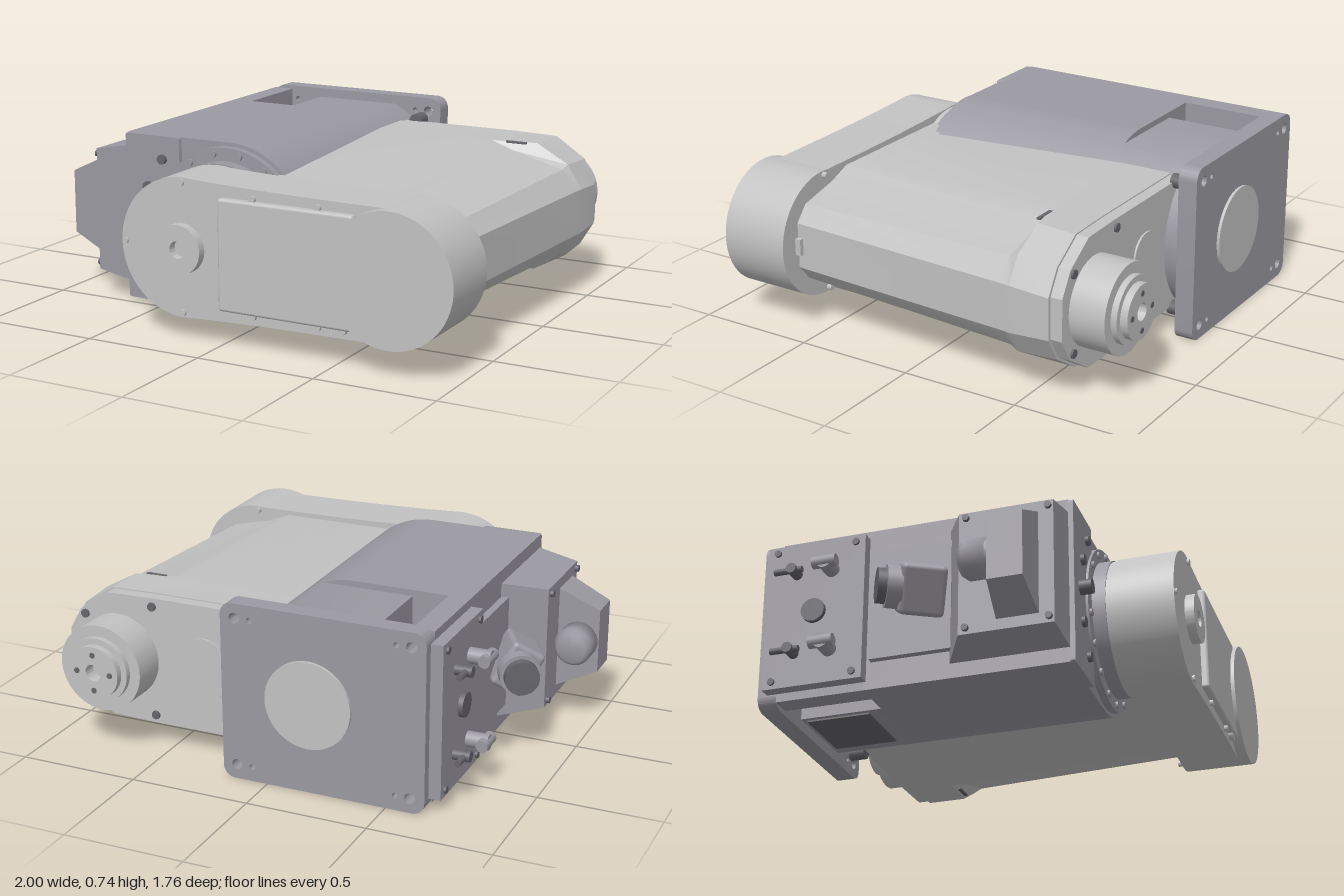
import * as THREE from 'three';
import { toCreasedNormals } from 'three/addons/utils/BufferGeometryUtils.js';
import { RoundedBoxGeometry } from 'three/addons/geometries/RoundedBoxGeometry.js';

const mat = (name, color) => {
  const m = new THREE.MeshStandardMaterial({ color });
  m.name = name;
  return m;
};
const light = mat('light grey shell', 0xc2c2c2);
const grey = mat('base grey', 0x9b99a1);
const dark = mat('dark fittings', 0x66656b);

const MID = 0.375; // height of all main axes

export function createModel() {
  const root = new THREE.Group();
  root.name = 'foldedRobotArm';

  const add = (name, geo, material, x = 0, y = 0, z = 0) => {
    const m = new THREE.Mesh(geo, material);
    m.name = name;
    m.position.set(x, y, z);
    root.add(m);
    return m;
  };
  // box given by its limits
  const box = (name, material, x0, x1, y0, y1, z0, z1) =>
    add(name, new THREE.BoxGeometry(x1 - x0, y1 - y0, z1 - z0), material, (x0 + x1) / 2, (y0 + y1) / 2, (z0 + z1) / 2);
  // cylinder along z
  const cylZ = (name, material, x, y, r, z0, z1, n = 40) =>
    add(name, new THREE.CylinderGeometry(r, r, z1 - z0, n).rotateX(Math.PI / 2), material, x, y, (z0 + z1) / 2);
  // cylinder along x
  const cylX = (name, material, y, z, r, x0, x1, n = 20) =>
    add(name, new THREE.CylinderGeometry(r, r, x1 - x0, n).rotateZ(Math.PI / 2), material, (x0 + x1) / 2, y, z);
  const prism = (name, material, shape, z0, z1) => {
    const g = new THREE.ExtrudeGeometry(shape, { depth: z1 - z0, bevelEnabled: false, curveSegments: 40 });
    return add(name, toCreasedNormals(g, 0.5), material, 0, 0, z0);
  };
  // rounded rectangle outline
  const roundRect = (x0, x1, y0, y1, r) => {
    const s = new THREE.Shape();
    s.absarc(x1 - r, y1 - r, r, 0, Math.PI / 2);
    s.absarc(x0 + r, y1 - r, r, Math.PI / 2, Math.PI);
    s.absarc(x0 + r, y0 + r, r, Math.PI, Math.PI * 1.5);
    s.absarc(x1 - r, y0 + r, r, Math.PI * 1.5, Math.PI * 2);
    return s;
  };
  const hole = (s, x, y, r) => s.holes.push(new THREE.Path().absarc(x, y, r, 0, Math.PI * 2, true));
  // ring with a bore, along z
  const ring = (name, material, x, y, r, bore, z0, z1) => {
    const s = new THREE.Shape().absarc(x, y, r, 0, Math.PI * 2);
    hole(s, x, y, bore);
    return prism(name, material, s, z0, z1);
  };
  // box narrowing towards -x, with separate limits at each end: [y0, y1, z0, z1]
  const taperX = (name, material, xa, a, xb, b) => {
    const g = new THREE.BoxGeometry(1, 1, 1).toNonIndexed();
    const p = g.attributes.position;
    for (let i = 0; i < p.count; i++) {
      const e = p.getX(i) < 0 ? a : b;
      p.setXYZ(i, p.getX(i) < 0 ? xa : xb, p.getY(i) < 0 ? e[0] : e[1], p.getZ(i) < 0 ? e[2] : e[3]);
    }
    g.computeVertexNormals();
    return add(name, g, material);
  };
  // skin over equal-length counter-clockwise sections [[x, y]...] stacked along z
  const loft = (sections, zs) => {
    const v = [];
    const n = sections[0].length;
    const put = (i, j) => v.push(...sections[i][j % n], zs[i]);
    for (let i = 0; i + 1 < zs.length; i++)
      for (let j = 0; j < n; j++) {
        put(i, j); put(i, j + 1); put(i + 1, j + 1);
        put(i, j); put(i + 1, j + 1); put(i + 1, j);
      }
    const e = zs.length - 1;
    for (let j = 1; j + 1 < n; j++) {
      put(0, 0); put(0, j + 1); put(0, j);
      put(e, 0); put(e, j); put(e, j + 1);
    }
    const g = new THREE.BufferGeometry();
    g.setAttribute('position', new THREE.Float32BufferAttribute(v, 3));
    return toCreasedNormals(g, 0.35);
  };

  // Base body: flat slab with a half-round side, pocketed near the mounting plate
  const body = new THREE.Shape();
  body.moveTo(-0.66, 0.025);
  body.lineTo(-0.17, 0.025);
  body.absarc(-0.17, MID, 0.35, -Math.PI / 2, Math.PI / 2);
  body.lineTo(-0.66, 0.725);
  prism('baseBody', grey, body, -0.37, 0.47);
  const pocketed = new THREE.Shape();
  pocketed.absarc(-0.17, MID, 0.35, -1.19, 1.19);
  for (const [x, y] of [[-0.42, 0.7], [-0.42, 0.5], [-0.57, 0.5], [-0.57, 0.725], [-0.66, 0.725],
    [-0.66, 0.025], [-0.57, 0.025], [-0.57, 0.25], [-0.42, 0.25], [-0.42, 0.05]]) pocketed.lineTo(x, y);
  prism('pocketedBody', grey, pocketed, -0.74, -0.37);
  box('bottomCover', dark, -0.4, -0.1, 0.043, 0.052, -0.72, -0.45);
  const front = roundRect(-0.66, -0.4, 0.025, 0.725, 0.01);
  hole(front, -0.17, MID, 0.001);
  front.holes.length = 0;
  prism('baseFrontBlock', grey, front, 0.46, 0.49);

  // Mounting plate with corner holes
  const plate = roundRect(-0.66, 0.19, 0.005, 0.74, 0.05);
  for (const y of [0.065, 0.68])
    for (const x of [-0.6, -0.54, 0.065, 0.13]) hole(plate, x, y, x === -0.6 || x === 0.13 ? 0.022 : 0.012);
  prism('mountingPlate', grey, plate, -0.82, -0.74);
  cylZ('plateDisc', light, -0.18, MID, 0.18, -0.832, -0.81);
  for (const y of [0.1, 0.645]) cylZ('plateStud', dark, 0.1, y, 0.03, -0.74, -0.67, 12);

  // Shoulder joint
  cylZ('shoulderRing', grey, -0.17, MID, 0.335, 0.46, 0.5, 64);
  cylZ('shoulderNeck', grey, -0.17, MID, 0.28, 0.49, 0.555, 64);
  cylZ('shoulderDisc', light, -0.17, MID, 0.275, 0.55, 0.59, 64);
  for (let i = 0; i < 16; i++) {
    const a = (i + 0.5) * Math.PI / 8;
    cylZ('shoulderBolt', grey, -0.17 + 0.31 * Math.cos(a), MID + 0.31 * Math.sin(a), 0.015, 0.49, 0.51, 10);
  }
  for (const [x, y, r] of [[-0.575, 0, 0.03], [-0.55, 0.135, 0.022], [-0.55, -0.135, 0.022], [-0.48, 0.255, 0.02], [-0.48, -0.255, 0.02]])
    cylZ('frontScrew', dark, x, MID + y, r, 0.48, r > 0.025 ? 0.54 : 0.505, 14);

  // Link arm joining the shoulder and elbow
  const link = new THREE.Shape();
  link.absarc(-0.17, MID, 0.28, 1.45, 2 * Math.PI - 1.45);
  link.quadraticCurveTo(0.2, 0.115, 0.74, 0.115);
  link.absarc(0.74, MID, 0.26, -Math.PI / 2, Math.PI / 2);
  link.quadraticCurveTo(0.2, 0.635, -0.136, 0.653);
  prism('linkArm', light, link, 0.58, 0.83);
  cylZ('elbowCap', light, 0.74, MID, 0.262, 0.58, 0.875, 64);
  ring('shoulderBoss', light, -0.17, MID, 0.1, 0.035, 0.82, 0.868);
  add('linkCover', new RoundedBoxGeometry(0.58, 0.445, 0.05, 2, 0.012), light, 0.295, MID, 0.834);
  for (const s of [-1, 1]) {
    for (const x of [0.15, 0.43]) cylZ('coverScrew', light, x, MID + s * 0.23, 0.014, 0.82, 0.845, 10);
    cylZ('linkScrew', light, -0.17, MID + s * 0.26, 0.014, 0.82, 0.84, 10);
  }
  cylZ('linkScrew', light, -0.43, MID, 0.012, 0.82, 0.84, 10);
  cylZ('linkPlug', light, 0.49, 0.205, 0.024, 0.82, 0.85, 14);
  cylZ('linkPlug', light, 0.53, 0.155, 0.026, 0.82, 0.85, 14);

  // Forearm: upper half of each section, mirrored below the axis
  const section = half => [
    ...half.map(([x, y]) => [x, 2 * MID - y]),
    ...half.slice().reverse(),
  ];
  const halves = [
    [[-0.05, 0.65], [0.58, 0.65], [0.78, 0.645], [0.91, 0.56], [0.97, 0.46]],
    [[-0.05, 0.65], [0.58, 0.65], [0.77, 0.648], [0.91, 0.57], [0.97, 0.47]],
    [[-0.05, 0.65], [0.58, 0.65], [0.68, 0.615], [0.9, 0.555], [0.965, 0.47]],
    [[-0.05, 0.615], [0.58, 0.615], [0.68, 0.575], [0.85, 0.535], [0.905, 0.47]],
  ];
  add('forearm', loft(halves.map(section), [-0.63, -0.46, -0.42, 0.585]), light);
  const cap = section([[0.05, 0.645], [0.58, 0.645], [0.77, 0.64], [0.9, 0.555], [0.955, 0.46]]);
  add('forearmBackCap', loft([cap, cap], [-0.68, -0.62]), light);
  prism('ovalCover', light, roundRect(0.25, 0.43, 0.24, 0.51, 0.088), -0.688, -0.67);
  box('forearmLatch', light, 0.88, 0.925, 0.34, 0.41, 0.555, 0.59);
  for (const s of [-1, 1]) {
    cylZ('elbowScrew', light, 0.73, MID + s * 0.245, 0.013, 0.56, 0.59, 10);
    for (const x of [0.57, 0.88]) cylZ('capScrew', dark, x, MID + s * (x > 0.8 ? 0.16 : 0.235), 0.018, -0.69, -0.67, 10);
    box('forearmNotch', dark, 0.64, 0.73, MID + s * 0.272 - 0.004, MID + s * 0.272 + 0.004, -0.445, -0.43);
  }

  // Wrist and tool flange
  cylZ('wristHousing', light, 0.73, MID, 0.18, -0.83, -0.66, 64);
  ring('wristCollar', light, 0.73, MID, 0.135, 0.035, -0.855, -0.825);
  ring('toolFlange', light, 0.73, MID, 0.11, 0.035, -0.885, -0.85);
  for (let i = 0; i < 4; i++) {
    const a = i * Math.PI / 2;
    cylZ('flangeBolt', dark, 0.73 + 0.075 * Math.cos(a), MID + 0.075 * Math.sin(a), 0.012, -0.888, -0.88, 10);
  }

  // Connector panel on the outer side of the base
  box('connectorPanel', grey, -0.71, -0.65, 0.06, 0.69, -0.78, -0.36);
  box('plugBezel', grey, -0.69, -0.65, 0.14, 0.61, -0.34, 0.0);
  for (const y of [0.09, 0.66])
    for (const z of [-0.74, -0.4]) cylX('panelScrew', dark, y, z, 0.015, -0.72, -0.7, 10);
  for (const y of [0.2, 0.55]) {
    cylX('airFitting', grey, y, -0.5, 0.032, -0.8, -0.7);
    add('airElbow', new THREE.CylinderGeometry(0.025, 0.025, 0.1, 16).rotateX(Math.PI / 2), grey, -0.785, y, -0.5);
    cylX('airValve', dark, y, -0.65, 0.022, -0.78, -0.7);
    add('airValveStem', new THREE.CylinderGeometry(0.013, 0.013, 0.12, 12).rotateX(Math.PI / 2), dark, -0.755, y, -0.67);
  }
  cylX('signalSocket', dark, MID, -0.57, 0.05, -0.73, -0.7, 24);

  // Angled power plug
  const plug = new THREE.Group();
  plug.name = 'powerPlug';
  const plugPart = (name, geo, m, y) => {
    const p = new THREE.Mesh(geo, m);
    p.name = name;
    p.position.y = y;
    plug.add(p);
  };
  plugPart('plugBlock', new RoundedBoxGeometry(0.15, 0.18, 0.2, 2, 0.02), grey, 0);
  plugPart('plugCollar', new THREE.CylinderGeometry(0.085, 0.085, 0.06, 32), grey, 0.11);
  plugPart('plugNut', new THREE.CylinderGeometry(0.07, 0.07, 0.04, 32), dark, 0.155);
  plug.position.set(-0.755, MID, -0.1);
  plug.quaternion.setFromUnitVectors(new THREE.Vector3(0, 1, 0), new THREE.Vector3(-0.5, 0, -0.866));
  root.add(plug);

  // Side housing, tapered cable box and cable gland
  taperX('sideHousing', grey, -0.83, [0.115, 0.635, 0.08, 0.46], -0.65, [0.085, 0.67, -0.02, 0.47]);
  taperX('cableBox', grey, -1, [0.24, 0.51, 0.25, 0.39], -0.82, [0.155, 0.595, 0.23, 0.4]);
  cylZ('cableGland', grey, -0.92, MID, 0.07, 0.2, 0.26, 32);
  add('glandCap', new THREE.LatheGeometry([[0, -0.06], [0.06, -0.06], [0.08, -0.035], [0.08, 0.05], [0, 0.05]]
    .map(p => new THREE.Vector2(...p)), 32).rotateX(Math.PI / 2), grey, -0.92, MID, 0.185);
  for (const [y, z] of [[0.14, 0.44], [0.61, 0.44], [0.14, 0.11], [0.61, 0.11]])
    cylX('housingScrew', dark, y, z, 0.014, -0.845, -0.82, 10);
  return root;
}
